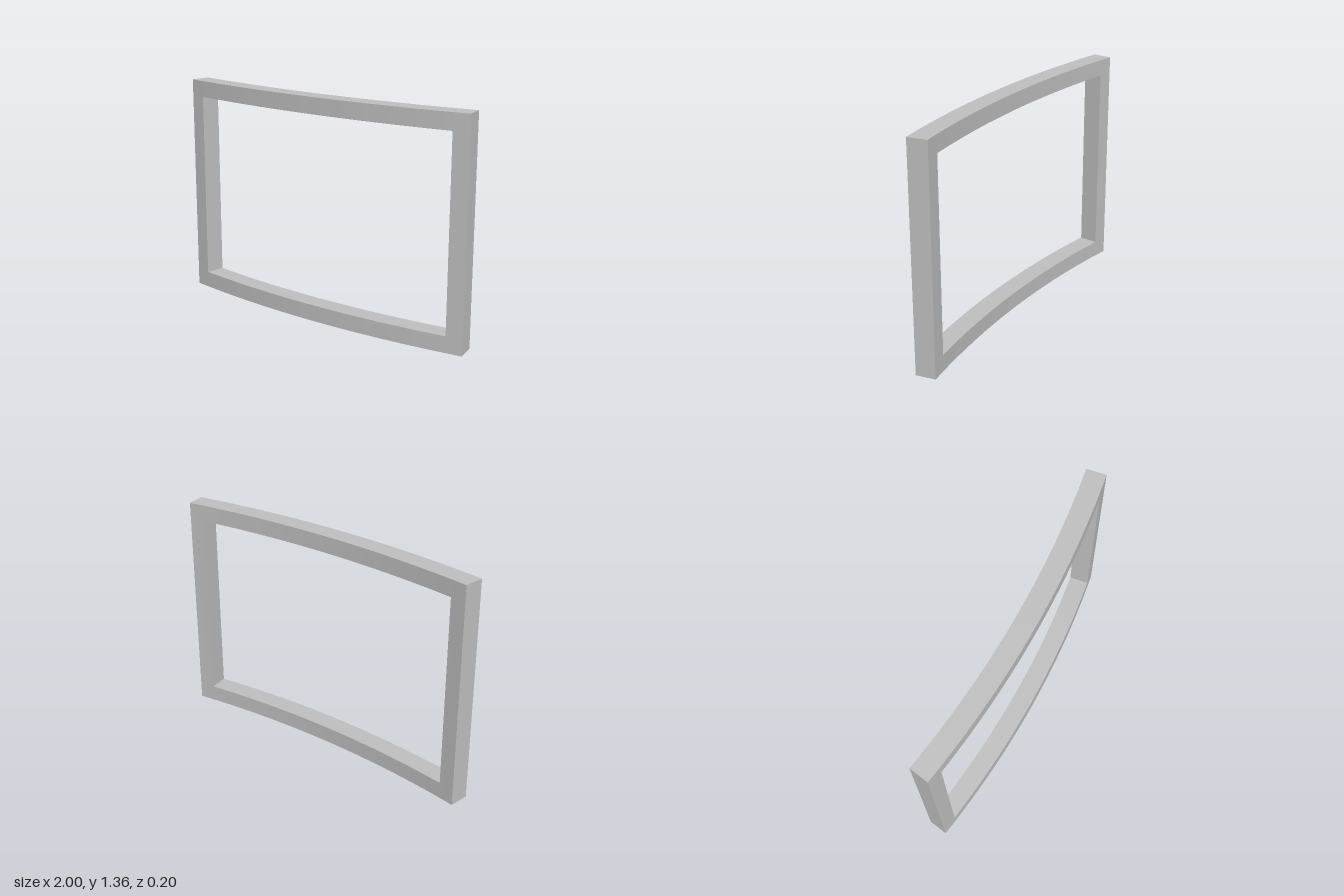
import * as THREE from 'three';

const R = 6.176;            // radius of the front face
const DEPTH = 0.12;
const HEIGHT = 1.357;
const BORDER = 0.1;         // width of the rails
const FRONT_Z = 0.1;        // foremost point, at the middle
const END = Math.asin(1 / R);        // half angle of the whole frame
const INNER = Math.asin(0.902 / R);  // half angle of the opening

// A box spanning angles a0..a1 and heights y0..y1, bent round the vertical axis
function bentBox(a0, a1, y0, y1, segments) {
  const geo = new THREE.BoxGeometry(a1 - a0, y1 - y0, DEPTH, segments, 1, 1);
  geo.translate((a0 + a1) / 2, (y0 + y1) / 2, -DEPTH / 2);
  const pos = geo.attributes.position;
  const nor = geo.attributes.normal;
  const up = new THREE.Vector3(0, 1, 0);
  const n = new THREE.Vector3();
  for (let i = 0; i < pos.count; i++) {
    const a = pos.getX(i);
    const r = R + pos.getZ(i);
    pos.setXYZ(i, r * Math.sin(a), pos.getY(i), r * Math.cos(a) - R + FRONT_Z);
    n.fromBufferAttribute(nor, i).applyAxisAngle(up, a);
    nor.setXYZ(i, n.x, n.y, n.z);
  }
  return geo;
}

export function createModel() {
  const group = new THREE.Group();
  group.name = 'curvedFrame';
  const grey = new THREE.MeshStandardMaterial({ color: 0xc0c0c0 });
  grey.name = 'grey';

  const add = (name, geo) => {
    const mesh = new THREE.Mesh(geo, grey);
    mesh.name = name;
    group.add(mesh);
  };

  // Curved rails across the full width
  add('bottomRail', bentBox(-END, END, 0, BORDER, 48));
  add('topRail', bentBox(-END, END, HEIGHT - BORDER, HEIGHT, 48));

  // Upright posts between the rails
  add('leftPost', bentBox(INNER, END, BORDER, HEIGHT - BORDER, 3));
  add('rightPost', bentBox(-END, -INNER, BORDER, HEIGHT - BORDER, 3));

  return group;
}
